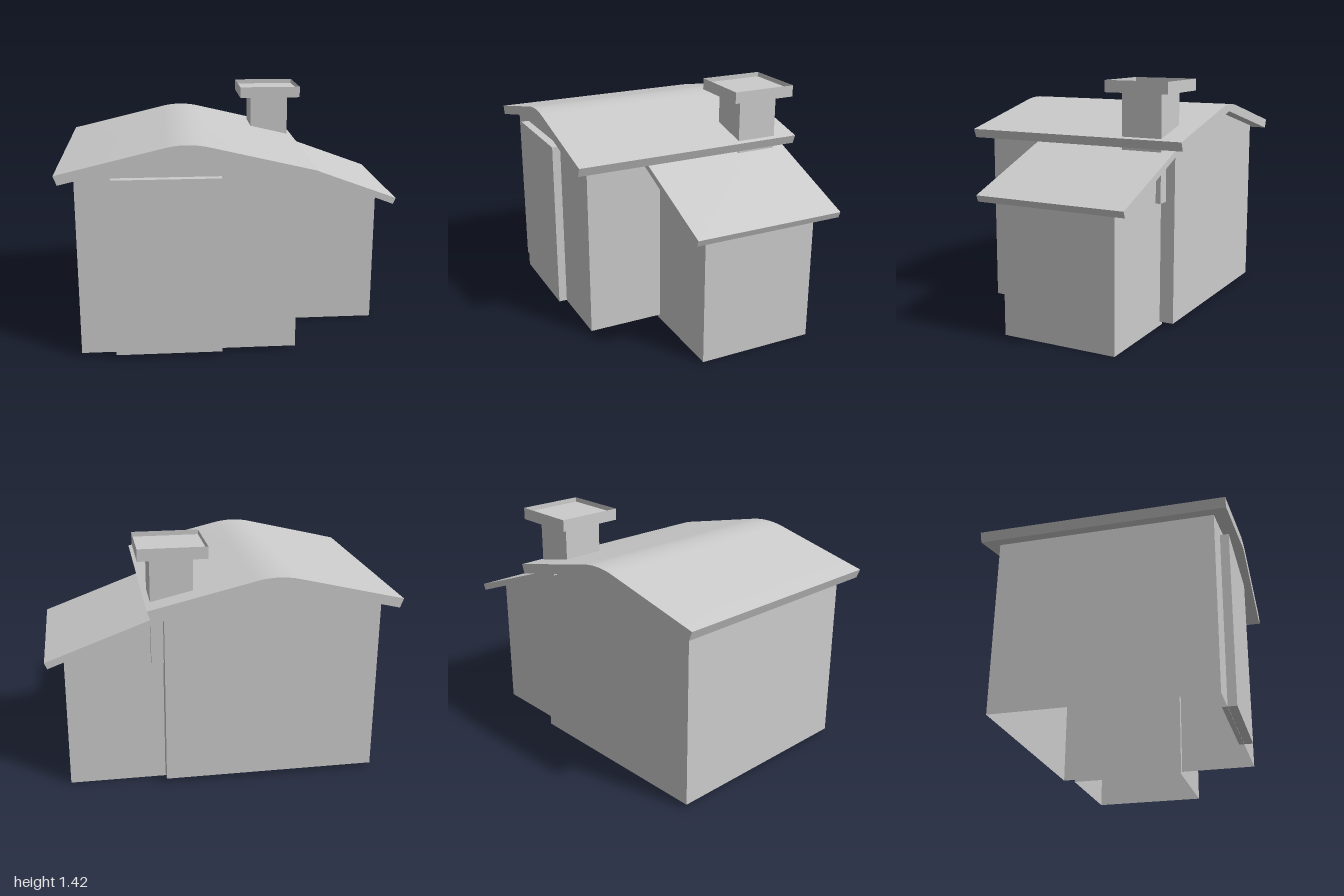
import * as THREE from 'three';
import { toCreasedNormals } from 'three/addons/utils/BufferGeometryUtils.js';

const material = new THREE.MeshStandardMaterial({ color: 0xcccccc, side: THREE.DoubleSide });

export function createModel() {
  const group = new THREE.Group();

  const add = (name, geometry) => {
    const mesh = new THREE.Mesh(geometry, material);
    mesh.name = name;
    group.add(mesh);
  };

  // Extrudes an x-y outline between two z positions
  const prism = (shape, z0, z1) =>
    new THREE.ExtrudeGeometry(shape, { depth: z1 - z0, bevelEnabled: false, curveSegments: 10 }).translate(0, 0, z0);

  const outline = (points) => new THREE.Shape(points.map(([x, y]) => new THREE.Vector2(x, y)));

  const box = (x0, x1, y0, y1, z0, z1) =>
    new THREE.BoxGeometry(x1 - x0, y1 - y0, z1 - z0).translate((x0 + x1) / 2, (y0 + y1) / 2, (z0 + z1) / 2);

  // Removes the faces that point straight up (1) or down (-1), leaving an open shell
  const openShell = (geometry, direction) => {
    const source = geometry.index ? geometry.toNonIndexed() : geometry;
    const position = source.attributes.position;
    const normal = source.attributes.normal;
    const kept = [];
    for (let i = 0; i < position.count; i += 3) {
      if (normal.getY(i) * direction > 0.99) continue;
      for (let k = i; k < i + 3; k++) kept.push(position.getX(k), position.getY(k), position.getZ(k));
    }
    const shell = new THREE.BufferGeometry();
    shell.setAttribute('position', new THREE.Float32BufferAttribute(kept, 3));
    shell.computeVertexNormals();
    return shell;
  };

  // Main house: gabled shell, open underneath
  add('houseWalls', openShell(prism(outline([
    [-0.9, 0.025], [0.34, 0.025], [0.34, 1.066], [-0.28, 1.213], [-0.9, 1.066],
  ]), -0.62, 0.62), -1));

  // Main roof: slab with a rounded ridge
  const roof = new THREE.Shape();
  roof.moveTo(-0.98, 1.045);
  roof.lineTo(-0.28, 1.211);
  roof.lineTo(0.42, 1.045);
  roof.lineTo(0.44, 1.098);
  roof.lineTo(-0.16, 1.24);
  roof.quadraticCurveTo(-0.28, 1.268, -0.4, 1.24);
  roof.lineTo(-1, 1.098);
  add('mainRoof', toCreasedNormals(prism(roof, -0.7, 0.7), 0.4));

  // Front door panel
  add('door', box(-0.7, -0.09, 0.027, 1.06, 0.59, 0.67));

  // Side annex: open underneath, with its own lean-to roof
  add('annexWalls', openShell(prism(outline([
    [0.305, 0], [0.897, 0], [0.897, 0.825], [0.305, 1.045],
  ]), -0.535, 0.165), -1));
  add('annexRoof', prism(outline([
    [0.2, 1.072], [0.985, 0.775], [1, 0.812], [0.2, 1.108],
  ]), -0.64, 0.265));

  // Chimney stack and its cap with a shallow recessed top
  add('chimneyStack', box(0.17, 0.41, 0.74, 1.36, -0.565, -0.32));
  add('chimneyCap', openShell(box(0.096, 0.48, 1.357, 1.425, -0.635, -0.247), 1));
  add('chimneyCapTop', new THREE.PlaneGeometry(0.384, 0.388).rotateX(-Math.PI / 2).translate(0.288, 1.397, -0.441));

  return group;
}
